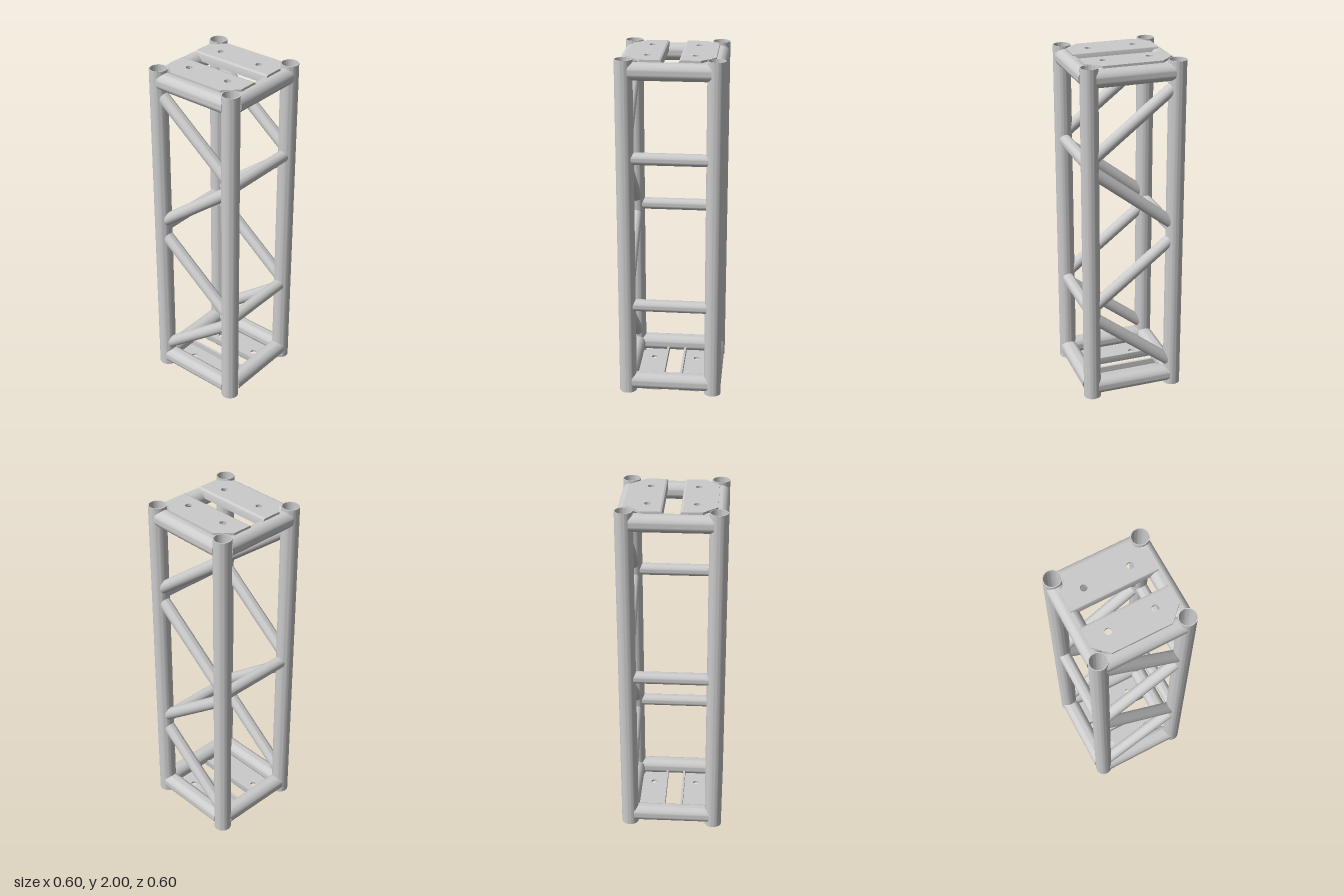
import * as THREE from 'three';
import { toCreasedNormals } from 'three/addons/utils/BufferGeometryUtils.js';

const POST = 0.25;    // offset of the corner posts from the centre
const R = 0.05;       // radius of posts and end rails
const BRACE_R = 0.035;
const material = new THREE.MeshStandardMaterial({ color: 0xcccccc });

function part(name, geometry) {
  const mesh = new THREE.Mesh(toCreasedNormals(geometry, 0.6), material);
  mesh.name = name;
  return mesh;
}

// Tube spanning two posts along x, with its ends coped to fit round them
function copedBar(name, radius, y, slope = 0) {
  const geometry = new THREE.CylinderGeometry(radius, radius, 1, 32).rotateZ(-Math.PI / 2);
  const p = geometry.attributes.position;
  const stretch = Math.hypot(1, slope);
  for (let i = 0; i < p.count; i++) {
    const d = p.getZ(i);
    const reach = Math.min(0.225, POST - Math.sqrt(Math.max(0, R * R - d * d)));
    const x = Math.sign(p.getX(i)) * reach;
    p.setXYZ(i, x, p.getY(i) * stretch + slope * x, d);
  }
  const bar = part(name, geometry);
  bar.position.y = y;
  return bar;
}

// Places a bar on one side: turn 0 = front, 1 = +x, 2 = back, 3 = -x
function onSide(bar, turn) {
  const side = new THREE.Group();
  side.name = bar.name + 'Side';
  side.rotation.y = turn * Math.PI / 2;
  bar.position.z = POST;
  side.add(bar);
  return side;
}

// Hollow corner post
function post() {
  const inner = R - 0.005;
  const profile = [[inner, 0], [R, 0], [R, 2], [inner, 2], [inner, 0]];
  return part('cornerPost', new THREE.LatheGeometry(profile.map(([x, y]) => new THREE.Vector2(x, y)), 48));
}

// Drilled plate with clipped outer corners and a folded inner flange
function endPlate() {
  const plate = new THREE.Group();
  plate.name = 'endPlate';
  const t = 0.013, top = 1.998, inner = 0.047;

  const outline = [[-0.25, inner + t], [0.25, inner + t], [0.25, 0.165], [0.17, 0.243], [-0.17, 0.243], [-0.25, 0.165]];
  const shape = new THREE.Shape(outline.map(([x, z]) => new THREE.Vector2(x, z)));
  for (const x of [-0.132, 0.132]) {
    shape.holes.push(new THREE.Path().absarc(x, 0.132, 0.019, 0, Math.PI * 2, true));
  }
  const sheet = new THREE.ExtrudeGeometry(shape, { depth: t, bevelEnabled: false, curveSegments: 24 });
  plate.add(part('plateSheet', sheet.rotateX(Math.PI / 2).translate(0, top, 0)));

  // Flange section in (z, y), with a rounded bend at the top
  const section = new THREE.Shape();
  section.moveTo(inner, top - 0.05);
  section.lineTo(inner + t, top - 0.05);
  section.lineTo(inner + t, top);
  section.absarc(inner + t, top - t, t, Math.PI / 2, Math.PI, false);
  section.closePath();
  const flange = new THREE.ExtrudeGeometry(section, { depth: 0.5, bevelEnabled: false, curveSegments: 8 });
  plate.add(part('plateFlange', flange.rotateY(-Math.PI / 2).translate(0.25, 0, 0)));
  return plate;
}

// Square of four rails carrying two plates
function endFrame() {
  const frame = new THREE.Group();
  frame.name = 'endFrame';
  for (let turn = 0; turn < 4; turn++) frame.add(onSide(copedBar('endRail', R, 1.935), turn));
  for (const turn of [0, Math.PI]) {
    const plate = endPlate();
    plate.rotation.y = turn;
    frame.add(plate);
  }
  return frame;
}

export function createModel() {
  const model = new THREE.Group();
  model.name = 'trussSegment';

  for (const x of [-POST, POST]) {
    for (const z of [-POST, POST]) {
      const p = post();
      p.position.set(x, 0, z);
      model.add(p);
    }
  }

  // Top frame, and the same frame turned over for the bottom
  const bottom = endFrame();
  bottom.rotation.x = Math.PI;
  bottom.position.y = 2;
  model.add(endFrame(), bottom);

  // Zigzag braces; the back mirrors the front
  [0.33, 0.77, 1.23, 1.67].forEach((y, i) => {
    const slope = i % 2 ? -0.78 : 0.78;
    model.add(onSide(copedBar('diagonalBrace', BRACE_R, y, slope), 0));
    model.add(onSide(copedBar('diagonalBrace', BRACE_R, y, -slope), 2));
  });

  // Level braces on the sides, where the zigzags turn
  for (const [y, turn] of [[0.555, 1], [1.445, 1], [1, 3]]) {
    model.add(onSide(copedBar('levelBrace', BRACE_R, y), turn));
  }
  return model;
}
